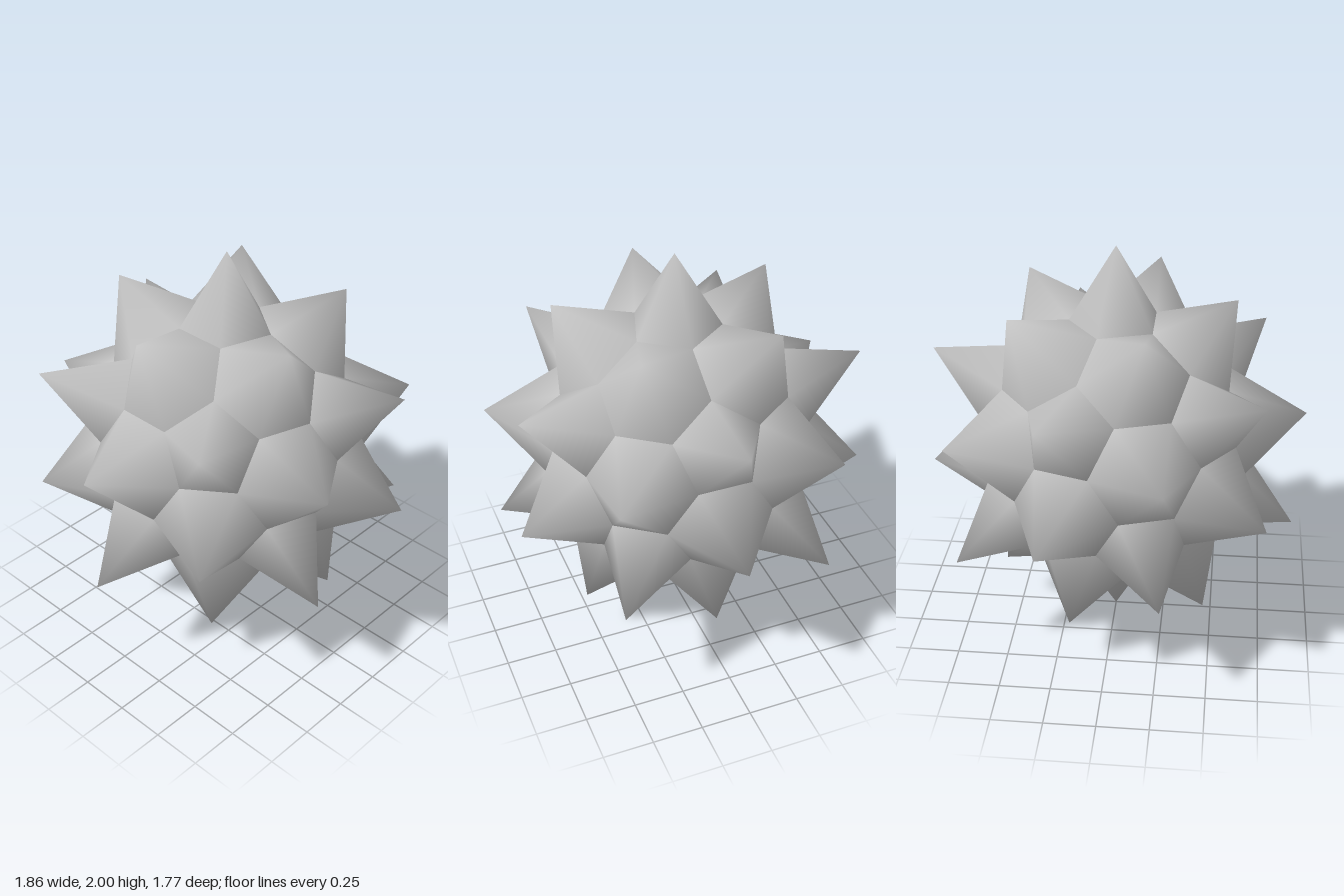
import * as THREE from 'three';

const CORE_RADIUS = 0.76;   // corner radius of the icosahedron that gets truncated
const PENT_TIP = 1.0;       // tip distance of five-sided spikes
const HEX_TIP = 0.945;      // tip distance of six-sided spikes

// Unit icosahedron corners: two poles and two staggered rings of five
function icosahedronCorners() {
  const corners = [new THREE.Vector3(0, 1, 0), new THREE.Vector3(0, -1, 0)];
  const y = 1 / Math.sqrt(5), r = 2 / Math.sqrt(5);
  for (let k = 0; k < 5; k++) {
    const a = (k * 2 * Math.PI) / 5, b = a + Math.PI / 5;
    corners.push(new THREE.Vector3(r * Math.cos(a), y, r * Math.sin(a)));
    corners.push(new THREE.Vector3(r * Math.cos(b), -y, r * Math.sin(b)));
  }
  return corners;
}

// Open pyramid with normals smoothed across its sides
function spikeGeometry(axis, tip, base) {
  const u = base[0].clone().projectOnPlane(axis).normalize();
  const w = axis.clone().cross(u);
  const angle = (p) => Math.atan2(p.dot(w), p.dot(u));
  const ring = [...base].sort((p, q) => angle(p) - angle(q));
  const points = [axis.clone().multiplyScalar(tip), ...ring];
  const index = [];
  ring.forEach((_, i) => index.push(0, i + 1, ((i + 1) % ring.length) + 1));
  const geometry = new THREE.BufferGeometry().setFromPoints(points);
  geometry.setIndex(index);
  geometry.computeVertexNormals();
  return geometry;
}

export function createModel() {
  const model = new THREE.Group();
  model.name = 'spikedBall';
  const grey = new THREE.MeshStandardMaterial({ color: 0xc0c0c0 });
  grey.name = 'grey';

  const corners = icosahedronCorners();
  const touches = (a, b) => a !== b && a.dot(b) > 0.4;
  // Point one third of the way along an icosahedron edge
  const cut = (a, b) => a.clone().lerp(b, 1 / 3).multiplyScalar(CORE_RADIUS);

  const addSpike = (name, axis, tip, base) => {
    const mesh = new THREE.Mesh(spikeGeometry(axis, tip, base), grey);
    mesh.name = name;
    mesh.position.y = 1;
    model.add(mesh);
  };

  // Five-sided spikes, one over each cut corner
  corners.forEach((c) => {
    const base = corners.filter((n) => touches(c, n)).map((n) => cut(c, n));
    addSpike('pentagonSpike', c, PENT_TIP, base);
  });

  // Six-sided spikes, one over each icosahedron face
  for (let i = 0; i < 12; i++)
    for (let j = i + 1; j < 12; j++)
      for (let k = j + 1; k < 12; k++) {
        const [a, b, c] = [corners[i], corners[j], corners[k]];
        if (!touches(a, b) || !touches(b, c) || !touches(a, c)) continue;
        const axis = a.clone().add(b).add(c).normalize();
        const base = [cut(a, b), cut(b, a), cut(b, c), cut(c, b), cut(c, a), cut(a, c)];
        addSpike('hexagonSpike', axis, HEX_TIP, base);
      }

  return model;
}
